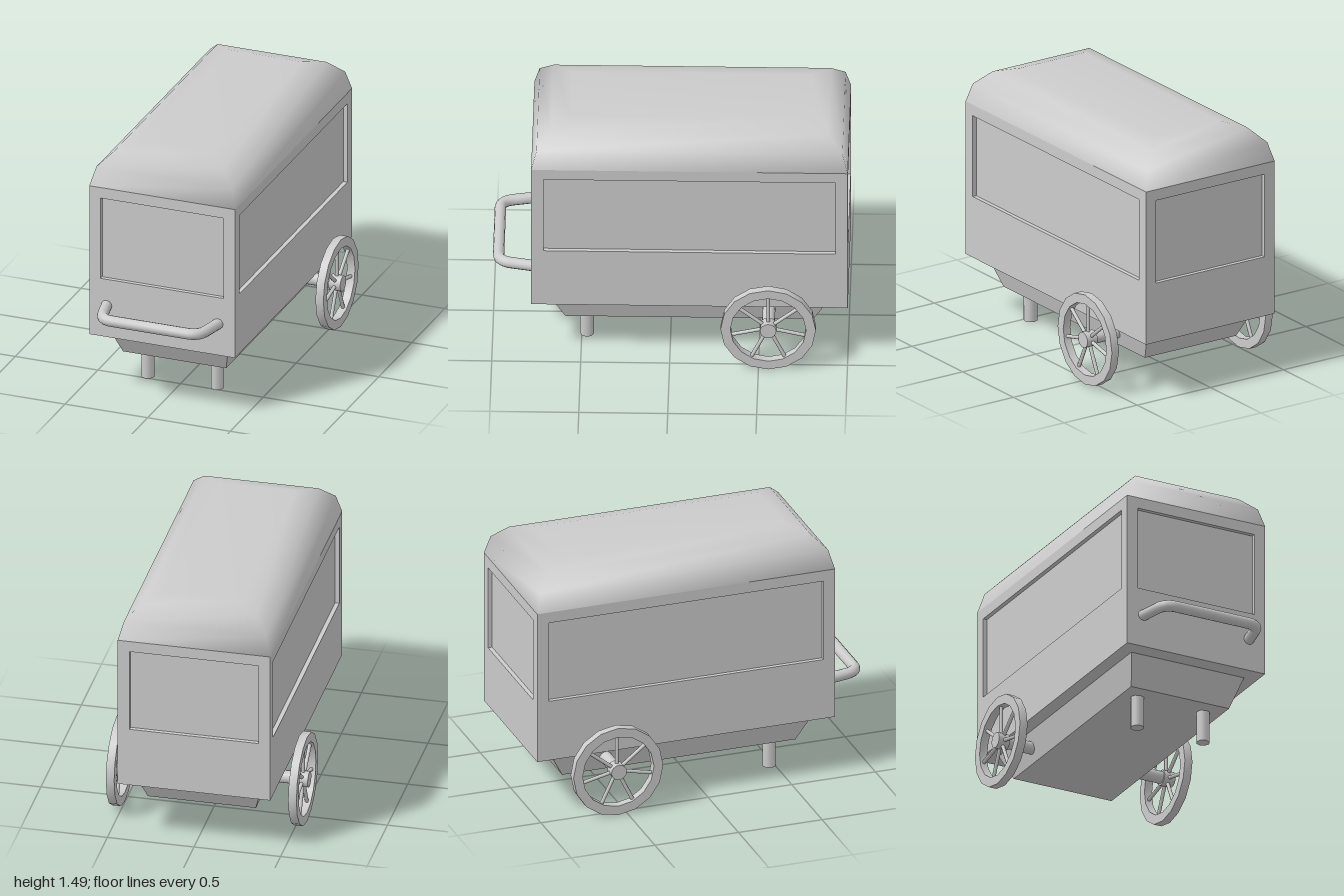
import * as THREE from 'three';
import { toCreasedNormals } from 'three/addons/utils/BufferGeometryUtils.js';

const material = new THREE.MeshStandardMaterial({ color: 0xcccccc });
const X = 0.44, BACK = -1, FRONT = 0.78, FLOOR = 0.35, EAVES = 1.265, RECESS = 0.025;

function add(parent, name, geometry, x = 0, y = 0, z = 0) {
  const mesh = new THREE.Mesh(geometry, material);
  mesh.name = name;
  mesh.position.set(x, y, z);
  parent.add(mesh);
  return mesh;
}

// Skin over rectangular rings [halfWidth, zBack, zFront, y], listed from bottom to top
function loft(rings, bottomCap) {
  const pos = [], index = [];
  for (const [x, z0, z1, y] of rings) pos.push(-x, y, z1, x, y, z1, x, y, z0, -x, y, z0);
  for (let r = 0; r < rings.length - 1; r++) {
    for (let i = 0; i < 4; i++) {
      const a = r * 4 + i, b = r * 4 + (i + 1) % 4;
      index.push(a, b, b + 4, a, b + 4, a + 4);
    }
  }
  const t = (rings.length - 1) * 4;
  index.push(t, t + 1, t + 2, t, t + 2, t + 3);
  if (bottomCap) index.push(0, 2, 1, 0, 3, 2);
  const g = new THREE.BufferGeometry();
  g.setAttribute('position', new THREE.Float32BufferAttribute(pos, 3));
  g.setIndex(index);
  g.computeVertexNormals();
  return g;
}

function rectangle(target, x0, y0, x1, y1) {
  target.moveTo(x0, y0).lineTo(x1, y0).lineTo(x1, y1).lineTo(x0, y1).closePath();
  return target;
}

// Wall with a window opening; its outer face lies on z = RECESS
function wall(halfLength, halfWindow, sill) {
  const shape = rectangle(new THREE.Shape(), -halfLength, FLOOR, halfLength, EAVES);
  shape.holes.push(rectangle(new THREE.Path(), -halfWindow, sill, halfWindow, 1.2));
  return new THREE.ExtrudeGeometry(shape, { depth: RECESS, bevelEnabled: false });
}

function createWheel() {
  const wheel = new THREE.Group();
  const ring = new THREE.Shape().absarc(0, 0, 0.268, 0, Math.PI * 2);
  ring.holes.push(new THREE.Path().absarc(0, 0, 0.213, 0, Math.PI * 2, true));
  const rim = new THREE.ExtrudeGeometry(ring, { depth: 0.048, bevelEnabled: false, curveSegments: 8 });
  rim.translate(0, 0, -0.024);
  add(wheel, 'rim', toCreasedNormals(rim, 0.6));
  add(wheel, 'hub', new THREE.CylinderGeometry(0.046, 0.046, 0.07, 16).rotateX(Math.PI / 2), 0, 0, 0.002);
  for (let i = 0; i < 7; i++) {
    const spoke = new THREE.CylinderGeometry(0.011, 0.011, 0.19, 8);
    spoke.translate(0, 0.13, 0).rotateZ(i * Math.PI * 2 / 7);
    add(wheel, 'spoke', spoke);
  }
  return wheel;
}

export function createModel() {
  const cart = new THREE.Group();
  cart.name = 'cart';
  const midZ = (FRONT + BACK) / 2, length = FRONT - BACK, height = EAVES - FLOOR;

  // Body: inner box forming the recessed panels, framed by four walls
  add(cart, 'bodyCore', new THREE.BoxGeometry(2 * (X - RECESS), height, length - 2 * RECESS),
    0, (FLOOR + EAVES) / 2, midZ);
  for (const side of [1, -1]) {
    add(cart, side > 0 ? 'leftWall' : 'rightWall', wall(length / 2, 0.82, 0.715),
      side * (X - RECESS), 0, midZ).rotation.y = side * Math.PI / 2;
    add(cart, side > 0 ? 'frontWall' : 'backWall', wall(X - RECESS, 0.372, 0.705),
      0, 0, midZ + side * (length / 2 - RECESS)).rotation.y = side > 0 ? 0 : Math.PI;
  }

  // Roof curving in from all four sides
  const roofSteps = [[0, EAVES], [0.03, 1.375], [0.11, 1.455], [0.22, 1.485]];
  add(cart, 'roof', loft(roofSteps.map(([d, y]) => [X - d, BACK + d, FRONT - d, y]), false));

  // Tapered underbody
  const under = loft([[0.312, -0.805, 0.59, 0.185], [0.36, -0.895, 0.68, FLOOR]], true);
  add(cart, 'underbody', toCreasedNormals(under, 0.1));

  // Front legs
  for (const side of [1, -1]) {
    add(cart, 'leg', new THREE.CylinderGeometry(0.039, 0.039, 0.2, 8), side * 0.21, 0.1, 0.47);
  }

  // Axle and spoked wheels
  const axle = new THREE.CylinderGeometry(0.036, 0.036, 1.02, 16).rotateZ(Math.PI / 2);
  add(cart, 'axle', axle, 0, 0.268, -0.555);
  for (const side of [1, -1]) {
    const wheel = createWheel();
    wheel.name = side > 0 ? 'leftWheel' : 'rightWheel';
    wheel.position.set(side * 0.526, 0.268, -0.555);
    wheel.rotation.y = side * Math.PI / 2;
    cart.add(wheel);
  }

  // Push handle with rounded corners
  const v = (x, z) => new THREE.Vector3(x, 0.543, z);
  const path = new THREE.CurvePath();
  path.add(new THREE.LineCurve3(v(-0.345, 0.74), v(-0.313, 0.89)));
  path.add(new THREE.QuadraticBezierCurve3(v(-0.313, 0.89), v(-0.298, 0.967), v(-0.23, 0.967)));
  path.add(new THREE.LineCurve3(v(-0.23, 0.967), v(0.23, 0.967)));
  path.add(new THREE.QuadraticBezierCurve3(v(0.23, 0.967), v(0.298, 0.967), v(0.313, 0.89)));
  path.add(new THREE.LineCurve3(v(0.313, 0.89), v(0.345, 0.74)));
  add(cart, 'handle', new THREE.TubeGeometry(path, 48, 0.032, 12));

  return cart;
}
